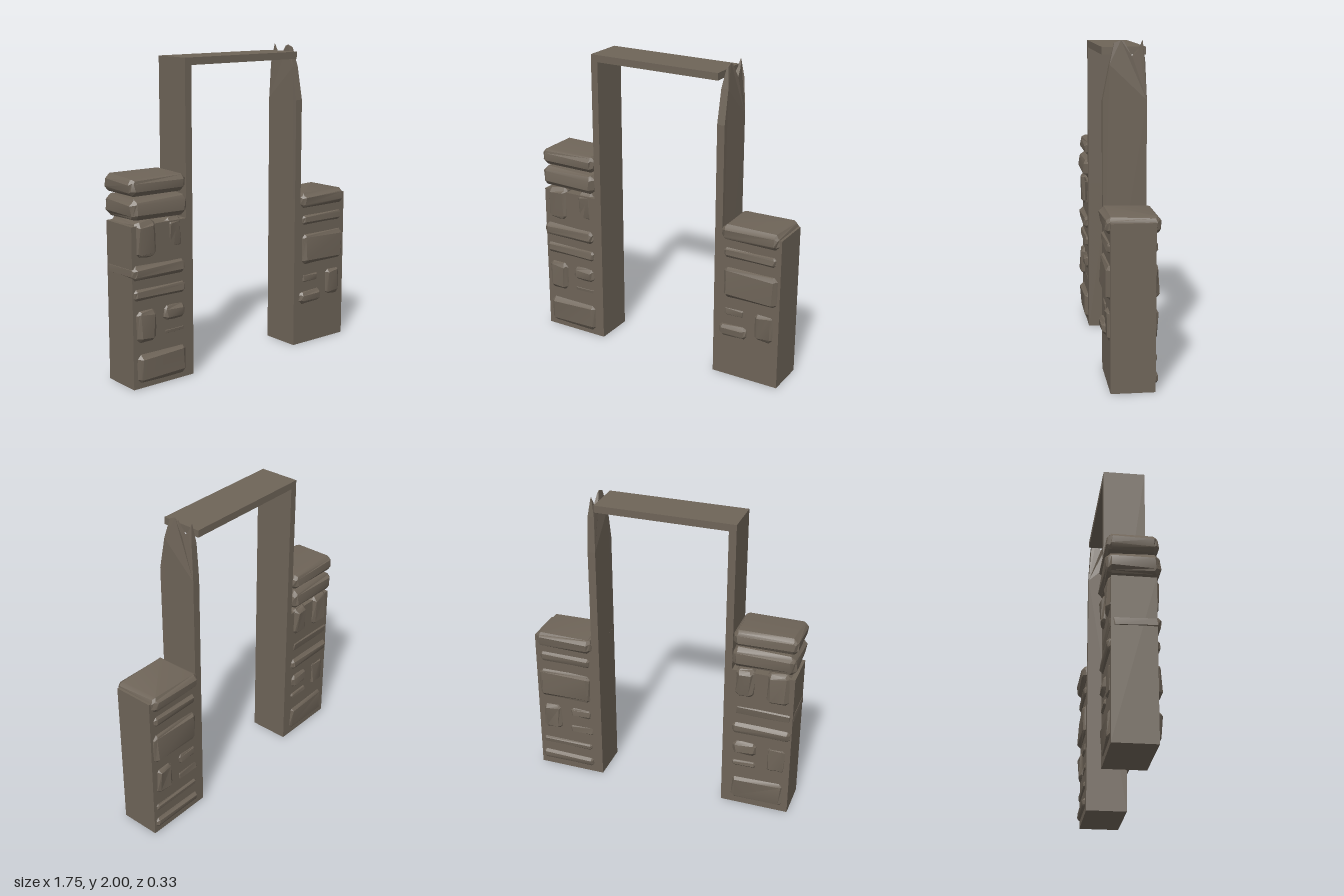
import * as THREE from 'three';
import { toCreasedNormals } from 'three/addons/utils/BufferGeometryUtils.js';

const stone = new THREE.MeshStandardMaterial({ color: 0x6e6458 });
stone.name = 'weatheredStone';

function add(parent, name, geometry) {
  const mesh = new THREE.Mesh(geometry, stone);
  mesh.name = name;
  parent.add(mesh);
  return mesh;
}

// Box given by its limits, with the shared depth of the doorway
function slab(parent, name, x0, x1, y0, y1) {
  const mesh = add(parent, name, new THREE.BoxGeometry(x1 - x0, y1 - y0, 0.262));
  mesh.position.set((x0 + x1) / 2, (y0 + y1) / 2, 0);
}

// Irregular bevelled block, slightly skewed by its seed
function block(parent, name, [x0, x1, y0, y1, z0 = -0.15, z1 = 0.152], seed) {
  const half = [(x1 - x0) / 2, (y1 - y0) / 2, (z1 - z0) / 2];
  const geometry = new THREE.BoxGeometry(2, 2, 2, 3, 3, 3);
  const pos = geometry.attributes.position;
  const bevel = Math.min(0.032, half[0] * 0.45, half[1] * 0.5);
  for (let i = 0; i < pos.count; i++) {
    const unit = [pos.getX(i), pos.getY(i), pos.getZ(i)];
    const outer = unit.filter((c) => Math.abs(c) > 0.9).length;
    const pull = bevel * [0, 0, 0.45, 0.65][outer];
    const p = unit.map((c, k) => {
      const wobble = 0.18 * bevel * (1 + Math.sin(seed * 7.3 + k * 2.1 + unit[0] * 3 + unit[1] * 5 + unit[2] * 4));
      const inset = Math.abs(c) > 0.9 ? pull : bevel;
      return Math.sign(c) * (half[k] - inset - wobble);
    });
    pos.setXYZ(i, ...p);
  }
  const mesh = add(parent, name, toCreasedNormals(geometry, 0.45));
  mesh.position.set((x0 + x1) / 2, (y0 + y1) / 2, (z0 + z1) / 2);
  return mesh;
}

// Upright whose broken top ends in two thin splinters
function splinteredPost(parent) {
  const outline = [
    [-0.131, 0], [0.131, 0], [0.131, 1.65], [0.12, 1.88], [0.107, 2.0],
    [0.085, 1.95], [0.045, 1.905], [0.02, 1.95], [0, 1.99], [-0.02, 2.0],
    [-0.06, 1.985], [-0.09, 1.86], [-0.131, 1.65],
  ].map(([a, b]) => new THREE.Vector2(a, b));
  const geometry = new THREE.ExtrudeGeometry(new THREE.Shape(outline), { depth: 0.05, bevelEnabled: false });
  geometry.rotateY(Math.PI / 2).translate(0.42, 0, 0);
  const pos = geometry.attributes.position;
  for (let i = 0; i < pos.count; i++) {
    const t = THREE.MathUtils.clamp((pos.getY(i) - 1.85) / 0.15, 0, 1);
    pos.setX(i, THREE.MathUtils.lerp(pos.getX(i), 0.445, t * 0.92));
  }
  geometry.computeVertexNormals();
  add(parent, 'splinteredPost', geometry);
}

export function createModel() {
  const model = new THREE.Group();
  model.name = 'ruinedDoorway';

  // Door frame
  const frame = new THREE.Group();
  frame.name = 'frame';
  slab(frame, 'post', -0.472, -0.425, 0, 1.96);
  slab(frame, 'lintel', -0.425, 0.42, 1.915, 1.96);
  splinteredPost(frame);
  model.add(frame);

  // Wall stubs on both sides
  const walls = new THREE.Group();
  walls.name = 'walls';
  slab(walls, 'rightWall', -0.872, -0.425, 0, 1);
  slab(walls, 'leftWall', 0.42, 0.87, 0, 1);
  model.add(walls);

  // Stones set through the walls: x0, x1, y0, y1, z0, z1
  const rightStones = [
    [-0.855, -0.685, 0.79, 1.03, -0.155, 0.155],
    [-0.63, -0.485, 0.81, 1.025, -0.16, 0.14],
    [-0.88, -0.485, 0.665, 0.765, -0.14, 0.16],
    [-0.87, -0.48, 0.54, 0.625, -0.155, 0.152],
    [-0.86, -0.695, 0.275, 0.495, -0.145, 0.162],
    [-0.665, -0.48, 0.375, 0.495, -0.155, 0.155],
    [-0.65, -0.49, 0.295, 0.34, -0.145, 0.135],
    [-0.855, -0.475, 0.02, 0.225, -0.15, 0.16],
  ];
  const leftStones = [
    [0.465, 0.86, 0.925, 1.035, -0.168, 0.162],
    [0.48, 0.845, 0.81, 0.89, -0.15, 0.15],
    [0.475, 0.865, 0.535, 0.765, -0.158, 0.16],
    [0.48, 0.65, 0.405, 0.495, -0.145, 0.14],
    [0.46, 0.66, 0.275, 0.365, -0.14, 0.16],
    [0.69, 0.85, 0.285, 0.5, -0.155, 0.152],
    [0.49, 0.85, 0.17, 0.22, -0.145, 0.128],
    [0.48, 0.86, 0.04, 0.11, -0.152, 0.125],
  ];
  // Loose stones piled on the right wall
  const pile = [
    [-0.88, -0.465, 1.025, 1.165, -0.165, 0.165],
    [-0.885, -0.47, 1.17, 1.285, -0.16, 0.152],
  ];
  const sets = { rightWallStone: rightStones, leftWallStone: leftStones, loosePileStone: pile };
  let seed = 1;
  for (const [name, list] of Object.entries(sets)) {
    const group = new THREE.Group();
    group.name = name + 's';
    for (const limits of list) block(group, name, limits, seed++);
    model.add(group);
  }
  return model;
}
